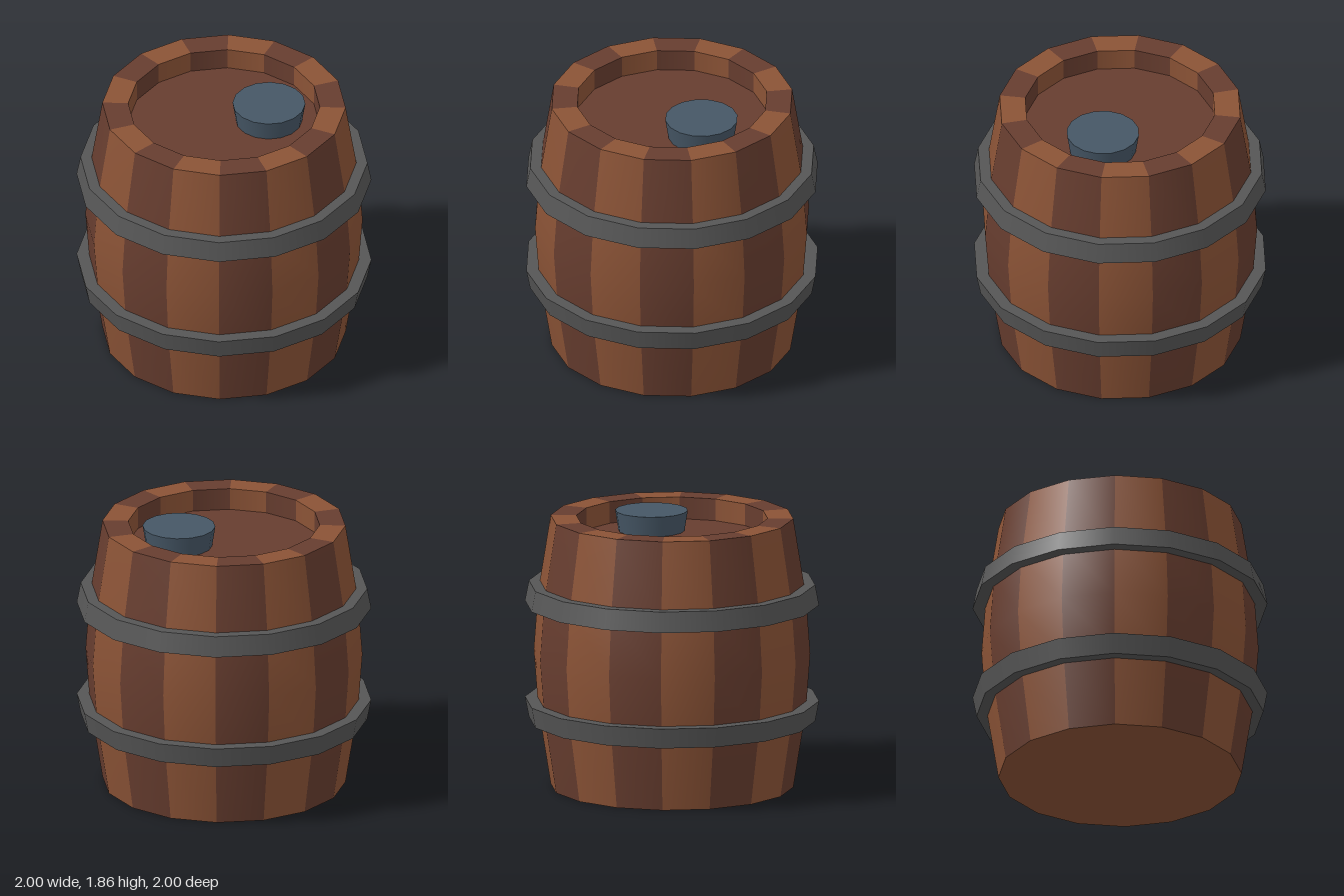
import * as THREE from 'three';

const SIDES = 16;

function material(name, color) {
  const m = new THREE.MeshStandardMaterial({ color });
  m.name = name;
  return m;
}

// Revolve a short profile of [radius, height] pairs
function revolve(profile) {
  return new THREE.LatheGeometry(profile.map(([r, y]) => new THREE.Vector2(r, y)), SIDES);
}

export function createModel() {
  const darkWood = material('darkWood', 0x673d2f);
  const lightWood = material('lightWood', 0x8b5336);
  const iron = material('iron', 0x565656);
  const plugBlue = material('plugBlue', 0x465766);

  const barrel = new THREE.Group();
  barrel.name = 'barrel';

  function add(parent, name, geometry, mat) {
    const mesh = new THREE.Mesh(geometry, mat);
    mesh.name = name;
    parent.add(mesh);
    return mesh;
  }

  // Staves: each side of the revolved surface alternates between two woods
  function addStaves(name, profile) {
    const geometry = revolve(profile);
    const count = (profile.length - 1) * 6;
    for (let i = 0; i < SIDES; i++) geometry.addGroup(i * count, count, i % 2);
    add(barrel, name, geometry, [darkWood, lightWood]);
  }
  const height = 1.86, lidY = 1.71, endR = 0.825, innerR = 0.65;
  addStaves('staves', [[endR, 0], [0.91, 0.53], [0.94, 0.93], [0.91, 1.33], [endR, height]]);
  addStaves('rim', [[endR, height], [innerR, height]]);
  addStaves('innerWall', [[innerR, height], [innerR, lidY]]);

  // Recessed lid and flat base
  const lid = add(barrel, 'lid', new THREE.CircleGeometry(innerR, SIDES), darkWood);
  lid.rotation.x = -Math.PI / 2;
  lid.position.y = lidY;
  const base = add(barrel, 'base', new THREE.CircleGeometry(endR, SIDES), lightWood);
  base.rotation.x = Math.PI / 2;

  // Iron hoops, widest on the edge nearest the belly
  function addHoop(name, y0, r0, y1, r1) {
    const hoop = new THREE.Group();
    hoop.name = name;
    const inner = 0.89;
    add(hoop, 'hoopBottom', revolve([[inner, y0], [r0, y0]]), iron);
    add(hoop, 'hoopBand', revolve([[r0, y0], [r1, y1]]), iron);
    add(hoop, 'hoopTop', revolve([[r1, y1], [inner, y1]]), iron);
    add(hoop, 'hoopInside', revolve([[inner, y1], [inner, y0]]), iron);
    barrel.add(hoop);
  }
  addHoop('lowerHoop', 0.46, 0.973, 0.6, 1);
  addHoop('upperHoop', 1.265, 1, 1.405, 0.973);

  // Tapered plug standing on the lid
  const plugTop = 1.85;
  const plug = add(barrel, 'plug',
    new THREE.CylinderGeometry(0.247, 0.225, plugTop - lidY, SIDES), plugBlue);
  plug.position.set(0.303, (plugTop + lidY) / 2, -0.048);

  return barrel;
}
